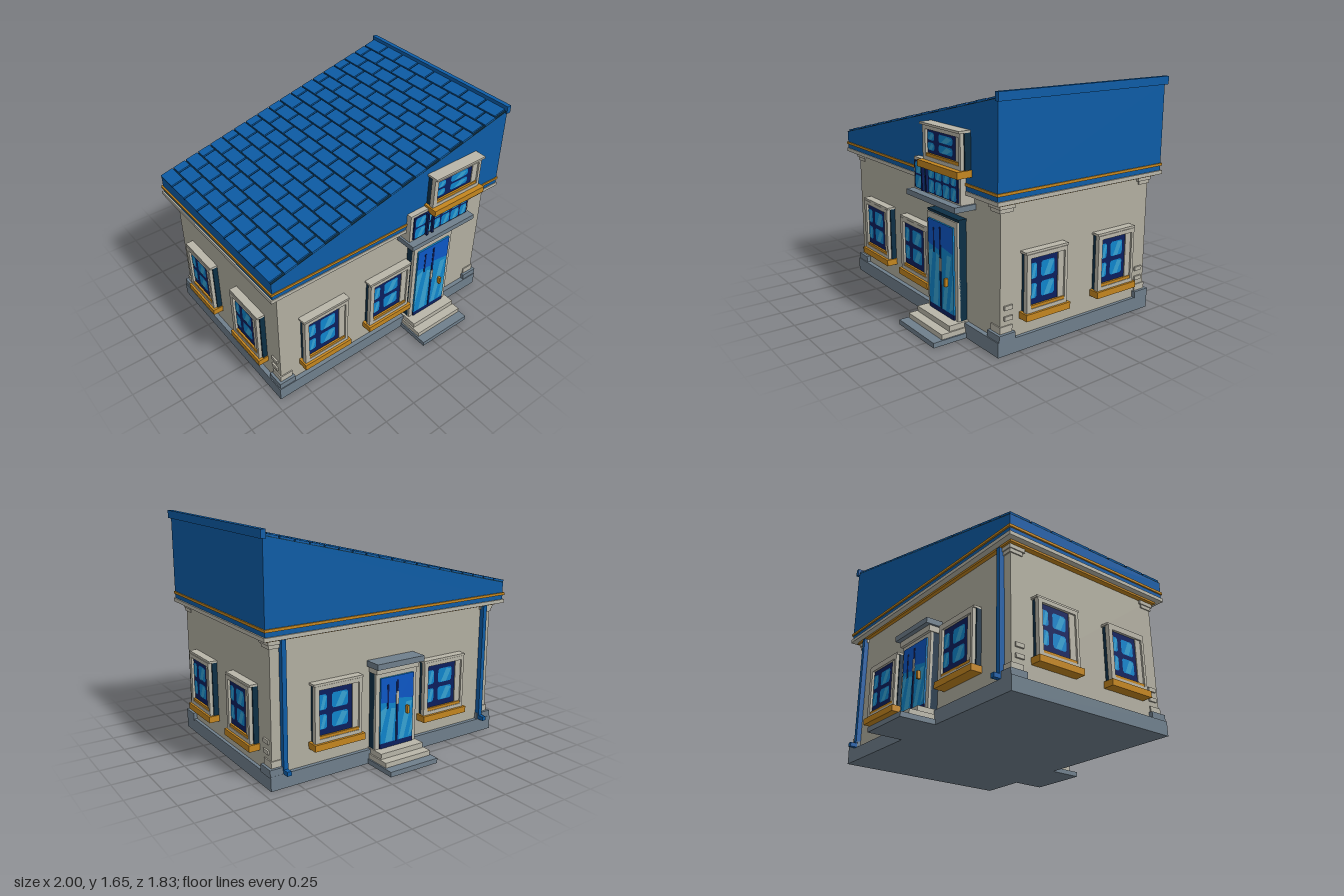
import * as THREE from 'three';

const mat = (name, color) => Object.assign(new THREE.MeshStandardMaterial({ color }), { name });
const M = {
  wall: mat('stone wall', 0xb2afa1),
  trim: mat('pale trim', 0xb9b6a9),
  slate: mat('slate', 0x6f7f8c),
  gold: mat('ochre', 0xc4861f),
  dark: mat('dark teal', 0x0c2f45),
  navy: mat('window navy', 0x0b1f5e),
  glass: mat('glass blue', 0x0f85cc),
  shine: mat('glass highlight', 0x36a2d3),
  door: mat('door blue', 0x0c57c6),
  roof: mat('roof blue', 0x0d5ca6),
};

// Box given by its minimum and maximum on each axis
function box(parent, name, m, x0, x1, y0, y1, z0, z1) {
  const mesh = new THREE.Mesh(new THREE.BoxGeometry(x1 - x0, y1 - y0, z1 - z0), m);
  mesh.position.set((x0 + x1) / 2, (y0 + y1) / 2, (z0 + z1) / 2);
  mesh.name = name;
  parent.add(mesh);
  return mesh;
}

// Flat painted polygon facing +z
function flat(parent, name, m, pts, z) {
  const mesh = new THREE.Mesh(new THREE.ShapeGeometry(new THREE.Shape(pts.map(p => new THREE.Vector2(...p)))), m);
  mesh.position.z = z;
  mesh.name = name;
  parent.add(mesh);
}

// Glass pane with clipped corners and a diagonal highlight
function pane(parent, x0, x1, y0, y1, z) {
  const c = 0.012, w = x1 - x0;
  flat(parent, 'glassPane', M.glass, [[x0 + c, y0], [x1 - c, y0], [x1, y0 + c], [x1, y1 - c],
    [x1 - c, y1], [x0 + c, y1], [x0, y1 - c], [x0, y0 + c]], z);
  flat(parent, 'paneHighlight', M.shine, [[x0 + 0.2 * w, y0 + 0.004], [x0 + 0.6 * w, y0 + 0.004],
    [x0 + 0.95 * w, y1 - 0.015], [x0 + 0.6 * w, y1 - 0.004]], z + 0.002);
}

// Framed window; local z = 0 is the wall face, y = 0 the top of the sill
function windowUnit(w, h, sillDepth) {
  const g = new THREE.Group(), r = w / 2;
  g.name = 'window';
  box(g, 'windowBody', M.dark, -r + 0.008, r, 0, h, -0.01, 0.037);
  box(g, 'leftJamb', M.trim, -r, -r + 0.034, 0, h, 0.03, 0.062);
  box(g, 'rightJamb', M.trim, r - 0.032, r - 0.01, 0, h, 0.03, 0.062);
  box(g, 'innerJamb', M.trim, r - 0.08, r - 0.032, 0.045, h - 0.02, 0.03, 0.05);
  box(g, 'headRail', M.trim, -r, r - 0.01, h - 0.028, h, 0.03, 0.062);
  box(g, 'bottomRail', M.trim, -r, r - 0.01, 0, 0.025, 0.03, 0.062);
  box(g, 'innerLedge', M.gold, -r + 0.034, r - 0.032, 0.025, 0.045, 0.03, 0.058);
  box(g, 'lintel', M.trim, -r - 0.005, r, h, h + 0.015, -0.01, sillDepth - 0.02);
  box(g, 'sill', M.gold, -r - 0.012, r + 0.008, -0.045, 0, -0.01, sillDepth);
  const x0 = -r + 0.034, pw = w - 0.114, y0 = 0.045, ph = h - 0.073;
  box(g, 'sash', M.navy, x0, x0 + pw, y0, y0 + ph, 0.03, 0.044);
  for (const [a, b] of [[0.005, 0.25], [0.4, 0.88]])
    for (const [c, d] of [[0.13, 0.45], [0.55, 0.88]])
      pane(g, x0 + a * pw, x0 + b * pw, y0 + c * ph, y0 + d * ph, 0.046);
  return g;
}

// Door with frame and steps; local z = 0 is the wall face
function doorUnit(w, top, stepW) {
  const g = new THREE.Group(), r = w / 2, l = r - 0.033, t = top - 0.04;
  g.name = 'doorway';
  box(g, 'doorBody', M.dark, -r, r, 0.1, top, -0.01, 0.055);
  for (const s of [-1, 1])
    box(g, 'doorJamb', M.trim, s > 0 ? l : -r, s > 0 ? r : -l, 0.1, top, 0.05, 0.07);
  box(g, 'doorHead', M.trim, -r, r, t, top, 0.05, 0.07);
  box(g, 'doorLeaf', M.glass, -l, l, 0.145, t, 0.05, 0.082);
  box(g, 'doorKick', M.navy, -l, l, 0.11, 0.145, 0.05, 0.082);
  const u = t - 0.17, z = 0.084;
  flat(g, 'doorUpperPaint', M.door, [[-l, u], [-0.02, u - 0.02], [0.02, u + 0.01], [l, u - 0.01], [l, t], [-l, t]], z);
  const lo = 0.15;
  flat(g, 'doorHighlight', M.shine, [[-l, 0.2], [-l + 0.06, u - 0.03], [-l, u - 0.06]], z);
  flat(g, 'doorHighlight', M.shine, [[-0.1, lo], [-0.04, lo], [-0.015, u - 0.06], [-0.05, u - 0.05]], z);
  flat(g, 'doorHighlight', M.shine, [[0.02, lo], [0.06, lo], [0.13, u - 0.03], [0.08, u - 0.03]], z);
  flat(g, 'doorHighlight', M.shine, [[0.1, lo], [l, lo + 0.04], [l, u - 0.13]], z);
  box(g, 'doorSeam', M.navy, -0.008, 0.008, 0.145, t - 0.03, 0.08, 0.087);
  box(g, 'doorInlay', M.navy, -0.085, -0.072, u - 0.05, u + 0.12, 0.08, 0.086);
  box(g, 'doorPlate', M.trim, -0.01, 0.01, 0.41, 0.5, 0.08, 0.089);
  box(g, 'doorHandle', M.gold, 0.073, 0.09, 0.33, 0.385, 0.08, 0.108);
  const s = stepW / 2;
  box(g, 'lowerStep', M.slate, -s, s, 0, 0.035, 0, 0.283);
  box(g, 'middleStep', M.trim, -s + 0.01, s - 0.01, 0.035, 0.07, 0, 0.215);
  box(g, 'upperStep', M.trim, -s + 0.02, s - 0.02, 0.07, 0.108, 0, 0.15);
  return g;
}

export function createModel() {
  const house = new THREE.Group();
  house.name = 'house';
  const put = (g, x, y, z, turn = 0) => {
    g.position.set(x, y, z);
    g.rotation.y = turn;
    house.add(g);
  };

  // Foundation, walls and cornice
  box(house, 'foundation', M.slate, -0.955, 0.945, 0, 0.1, -0.66, 0.665);
  box(house, 'walls', M.wall, -0.922, 0.922, 0.1, 1.0, -0.632, 0.632);
  box(house, 'lowerCornice', M.gold, -0.96, 0.955, 0.972, 0.986, -0.66, 0.66);
  box(house, 'cornice', M.trim, -1, 0.99, 0.986, 1.012, -0.7, 0.7);

  // Corner plinths, pilaster blocks and small bricks
  for (const sx of [-1, 1]) for (const sz of [-1, 1]) {
    const corner = (name, m, out, inn, y0, y1) => {
      const x = [sx * (0.922 + out), sx * (0.922 - inn)].sort((a, b) => a - b);
      const z = [sz * (0.632 + out), sz * (0.632 - inn)].sort((a, b) => a - b);
      box(house, name, m, x[0], x[1], y0, y1, z[0], z[1]);
    };
    corner('cornerPlinth', M.slate, 0.027, 0.1, 0.09, 0.145);
    corner('cornerBase', M.trim, 0.008, 0.088, 0.145, 0.19);
    corner('cornerCapLower', M.trim, 0.008, 0.09, 0.92, 0.945);
    corner('cornerCapUpper', M.trim, 0.015, 0.105, 0.945, 0.973);
    for (const y of [0.225, 0.295])
      box(house, 'cornerBrick', M.trim, sx * 0.925 - 0.009, sx * 0.925 + 0.009, y, y + 0.028,
        sz * 0.573 - 0.032, sz * 0.573 + 0.032);
  }

  // Sloped upper storey
  const profile = new THREE.Shape([[-0.99, 1.01], [0.98, 1.01], [0.98, 1.615], [-0.99, 1.138]].map(p => new THREE.Vector2(...p)));
  const attic = new THREE.Mesh(new THREE.ExtrudeGeometry(profile, { depth: 1.385, bevelEnabled: false }), M.roof);
  attic.position.z = -0.69;
  attic.name = 'attic';
  house.add(attic);
  box(house, 'roofBand', M.gold, -1, 0.987, 1.044, 1.062, -0.7, 0.702);
  box(house, 'roofRidge', M.roof, 0.965, 0.999, 1.6, 1.655, -0.705, 0.705);

  // Roof tiles in staggered columns, laid along the slope
  const tiles = new THREE.Group(), slope = Math.atan2(0.477, 1.97);
  tiles.name = 'roofTiles';
  tiles.position.set(-0.99, 1.138, 0);
  tiles.rotation.z = slope;
  const len = 1.97 / Math.cos(slope), cols = 19, cw = len / cols, tl = 1.385 / 8;
  box(tiles, 'tileBed', M.dark, 0, len, -0.004, 0.006, -0.69, 0.695);
  for (let c = 0; c < cols; c++) {
    for (let k = 0; k < 9; k++) {
      const start = -0.69 + (k - (c % 2) / 2) * tl;
      const z0 = Math.max(start, -0.69), z1 = Math.min(start + tl - 0.014, 0.695);
      if (z1 - z0 > 0.02) box(tiles, 'roofTile', M.roof, c * cw, (c + 1) * cw - 0.01, 0.004, 0.017, z0, z1);
    }
  }
  house.add(tiles);

  // Ground floor windows
  for (const x of [-0.568, -0.002]) put(windowUnit(0.375, 0.385, 0.08), x, 0.257, 0.632);
  for (const x of [-0.45, 0.45]) put(windowUnit(0.375, 0.385, 0.08), x, 0.257, -0.632, Math.PI);
  for (const s of [-1, 1]) for (const z of [-0.3, 0.303])
    put(windowUnit(0.34, 0.385, 0.077), s * 0.922, 0.257, z, s * Math.PI / 2);

  // Upper window
  const upper = windowUnit(0.445, 0.228, 0.1);
  put(upper, 0.488, 1.155, 0.702);

  // Wide glazed bay above the front door
  const bay = new THREE.Group();
  bay.name = 'glazedBay';
  box(bay, 'bayFrame', M.trim, 0.1, 0.655, 0.92, 1.14, 0.63, 0.735);
  box(bay, 'baySash', M.navy, 0.125, 0.635, 0.935, 1.12, 0.72, 0.745);
  const edges = [0.13, 0.235, 0.29, 0.375, 0.465, 0.555, 0.63];
  for (let i = 0; i < 6; i++) for (const [a, b] of [[0.94, 1.025], [1.037, 1.115]])
    pane(bay, edges[i] + 0.006, edges[i + 1] - 0.006, a, b, 0.747);
  for (const x of [0.24, 0.29]) box(bay, 'bayMullion', M.navy, x - 0.008, x + 0.008, 0.935, 1.12, 0.74, 0.763);
  box(bay, 'baySill', M.slate, 0.085, 0.67, 0.885, 0.922, 0.63, 0.79);
  house.add(bay);

  // Front door with dark cap, back door with slate canopy
  const front = doorUnit(0.365, 0.782, 0.44);
  box(front, 'doorCap', M.dark, -0.186, 0.186, 0.782, 0.8, -0.01, 0.06);
  put(front, 0.377, 0, 0.632);
  const back = doorUnit(0.345, 0.65, 0.4);
  box(back, 'canopyBracket', M.trim, -0.18, 0.18, 0.645, 0.687, -0.01, 0.09);
  box(back, 'canopy', M.slate, -0.197, 0.197, 0.687, 0.727, -0.01, 0.123);
  put(back, -0.005, 0, -0.632, Math.PI);

  // Drainpipes on the back wall
  for (const x of [-0.845, 0.84]) {
    box(house, 'drainpipe', M.roof, x - 0.016, x + 0.016, 0.1, 0.975, -0.668, -0.63);
    box(house, 'drainSpout', M.roof, x - 0.016, x + 0.016, 0.1, 0.13, -0.71, -0.66);
  }
  return house;
}
